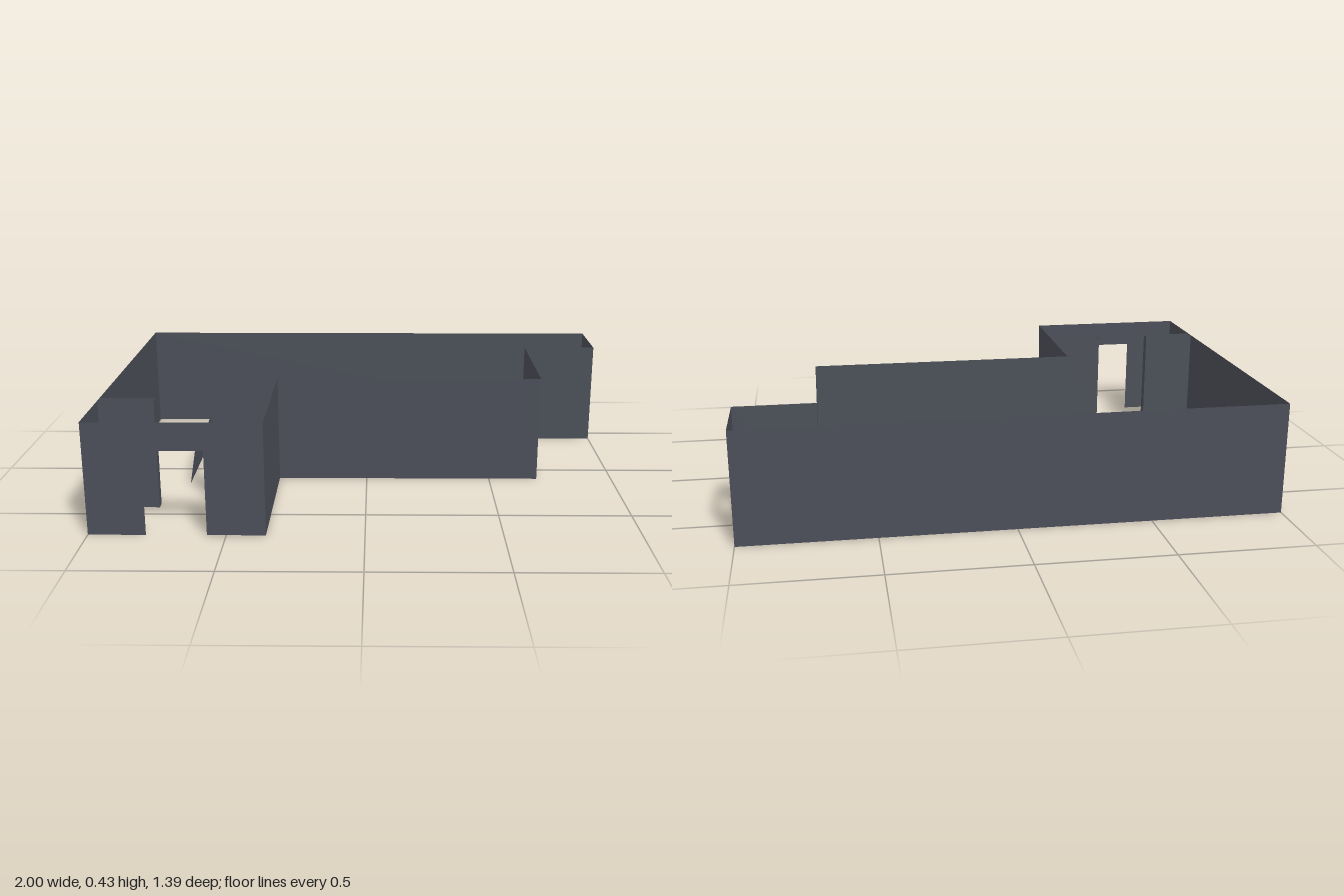
import * as THREE from 'three';

const H = 0.425;          // wall height
const DOOR = 0.32;        // door head height
const LOW = 0.1;          // low platform height
const ZB = -0.697, ZF = 0.697;

export function createModel() {
  const model = new THREE.Group();
  const wallGrey = new THREE.MeshStandardMaterial({ color: 0x4b4f58, side: THREE.DoubleSide });
  wallGrey.name = 'wallGrey';

  // Upright sheet from plan point a to b; outline is in (distance along, height)
  function sheet(name, a, b, outline) {
    const dx = b[0] - a[0], dz = b[1] - a[1];
    const len = Math.hypot(dx, dz);
    const pts = outline || [[0, 0], [len, 0], [len, H], [0, H]];
    const shape = new THREE.Shape(pts.map(p => new THREE.Vector2(p[0], p[1])));
    const mesh = new THREE.Mesh(new THREE.ShapeGeometry(shape), wallGrey);
    mesh.name = name;
    mesh.position.set(a[0], 0, a[1]);
    mesh.rotation.y = Math.atan2(-dz, dx);
    model.add(mesh);
  }
  const band = (len, y0, y1) => [[0, y0], [len, y0], [len, y1], [0, y1]];

  // Outer walls
  sheet('backWall', [1, ZB], [-1, ZB]);
  sheet('rightWall', [-1, ZB], [-1, ZF]);
  sheet('porchSideWall', [-0.357, ZF], [-0.357, 0.105]);
  sheet('frontWall', [-0.357, 0.105], [0.695, 0.105]);
  sheet('recessSideWall', [0.695, 0.105], [0.695, -0.42]);
  sheet('recessFrontWall', [0.695, -0.42], [1, -0.42]);

  // Porch front with its doorway
  sheet('porchFrontWall', [-1, ZF], [-0.357, ZF], [
    [0, 0], [0.21, 0], [0.21, DOOR], [0.43, DOOR], [0.43, 0], [0.643, 0], [0.643, H], [0, H]]);

  // Lintel over the open left end
  sheet('leftLintel', [1, -0.42], [1, ZB], band(-ZB - 0.42, 0.317, H));

  // Thick partition behind the porch, open in the middle
  for (const [x0, x1, jamb] of [[-1, -0.79, -0.79], [-0.57, -0.357, -0.57]]) {
    sheet('partitionFront', [x0, 0.432], [x1, 0.432]);
    sheet('partitionBack', [x0, 0.396], [x1, 0.396]);
    sheet('partitionJamb', [jamb, 0.432], [jamb, 0.396]);
  }

  // Low platform edges with a sloping end at each ramp
  sheet('frontRampSide', [-0.713, 0.175], [-0.713, -0.42],
    [[0, 0], [0.595, 0], [0.595, LOW], [0.14, LOW]]);
  sheet('platformEdge', [-0.713, -0.42], [-0.4, -0.42], band(0.313, 0, LOW));
  sheet('platformStep', [-0.4, -0.42], [-0.4, -0.48], band(0.06, 0, LOW));
  sheet('backRampSide', [-0.4, -0.48], [-0.265, -0.48], [[0, 0], [0.135, 0], [0, LOW]]);

  return model;
}
